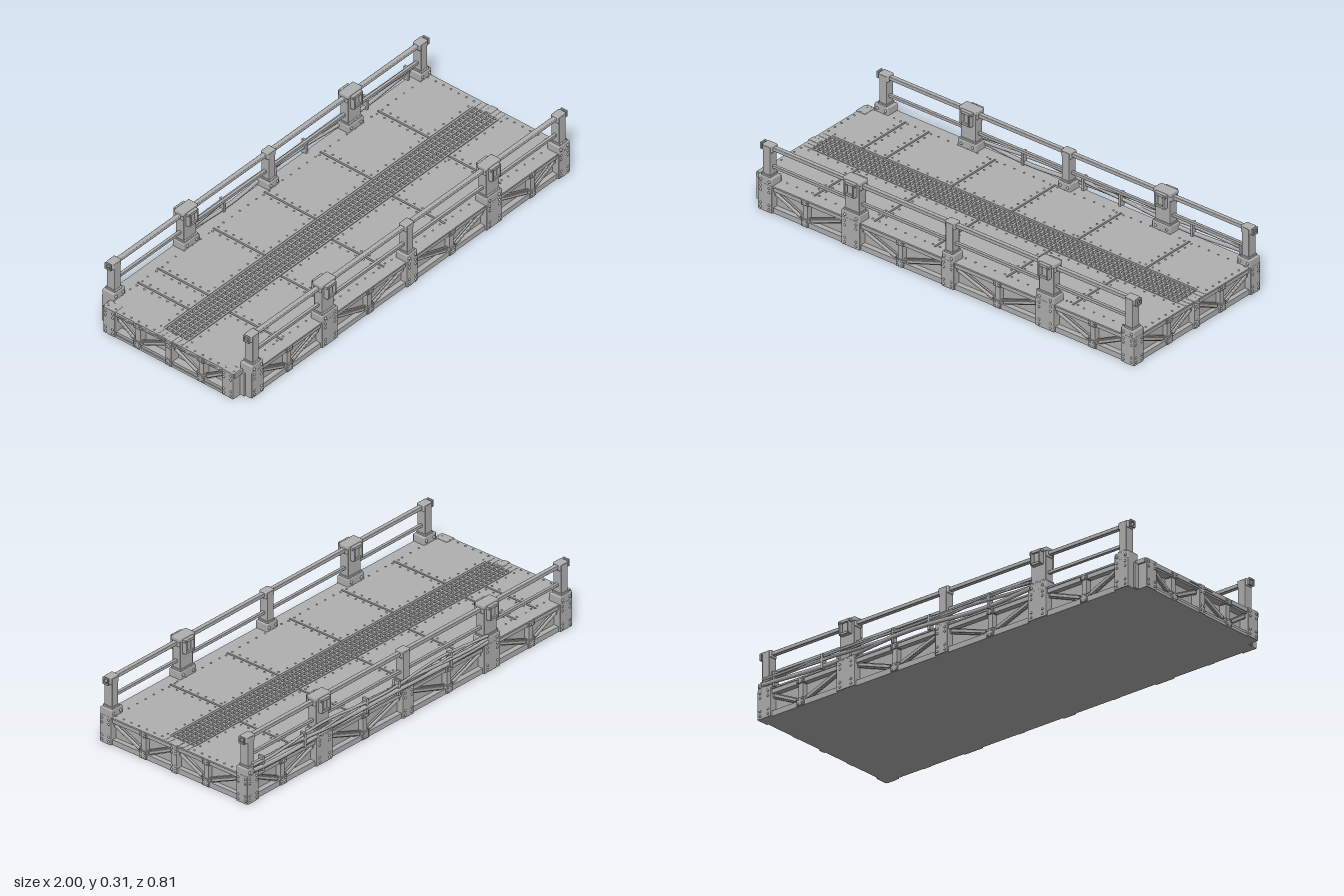
import * as THREE from 'three';
import { mergeGeometries } from 'three/addons/utils/BufferGeometryUtils.js';
import { RoundedBoxGeometry } from 'three/addons/geometries/RoundedBoxGeometry.js';

const flat = (g) => (g.index ? g.toNonIndexed() : g);

// Box given by its two extreme corners, optionally with softened edges
function box(x0, x1, y0, y1, z0, z1, r = 0) {
  const s = [x1 - x0, y1 - y0, z1 - z0];
  const g = r ? new RoundedBoxGeometry(...s, 1, r) : new THREE.BoxGeometry(...s);
  return flat(g.translate((x0 + x1) / 2, (y0 + y1) / 2, (z0 + z1) / 2));
}

// Domed rivet; axis is 'y' (up) or 'z' (outward)
function rivet(x, y, z, r = 0.006, axis = 'z') {
  const g = new THREE.SphereGeometry(r, 7, 3, 0, Math.PI * 2, 0, Math.PI / 2);
  if (axis === 'z') g.rotateX(Math.PI / 2);
  return flat(g.translate(x, y, z));
}

// Slanted strut between two points of the truss face
function strut(u0, y0, u1, y1) {
  const len = Math.hypot(u1 - u0, y1 - y0);
  const a = Math.atan2(y1 - y0, u1 - u0);
  const parts = [
    box(-len / 2, len / 2, -0.011, 0.011, -0.022, -0.014),
    box(-len / 2 + 0.015, len / 2 - 0.015, -0.007, 0.007, -0.016, -0.007, 0.003),
  ];
  return parts.map((g) => g.rotateZ(a).translate((u0 + u1) / 2, (y0 + y1) / 2, 0));
}

// Truss face in local coordinates: u along x, outward is +z, outer plane at z = 0
function truss(columns, mids) {
  const chords = [], uprights = [], struts = [], rivets = [];
  const first = columns[0], last = columns[columns.length - 1];
  const u0 = first.u - first.w, u1 = last.u + last.w;
  chords.push(box(u0, u1, 0, 0.024, -0.05, -0.006), box(u0, u1, 0.1, 0.125, -0.05, -0.006));
  chords.push(box(u0, u1, 0.118, 0.125, -0.05, -0.002));
  for (const { u, w } of columns) {
    uprights.push(box(u - w, u + w, 0, 0.127, -0.045, 0.003, 0.003));
    for (const y of [0.014, 0.034, 0.092, 0.112])
      for (const s of [-1, 1]) rivets.push(rivet(u + s * w * 0.6, y, 0.002));
  }
  for (const u of mids) {
    uprights.push(box(u - 0.012, u + 0.012, 0.02, 0.105, -0.04, -0.006));
    for (const [a, b] of [[0.001, 0.036], [0.098, 0.124]]) {
      uprights.push(box(u - 0.018, u + 0.018, a, b, -0.03, 0, 0.002));
      for (const s of [-1, 1]) for (const y of [a + 0.008, b - 0.008])
        rivets.push(rivet(u + s * 0.01, y, -0.001, 0.005));
    }
  }
  // Each bay has a pair of struts meeting at the foot of its middle upright
  columns.slice(0, -1).forEach((c, i) => {
    const n = columns[i + 1], m = mids[i];
    struts.push(...strut(c.u + c.w - 0.005, 0.097, m - 0.012, 0.027));
    struts.push(...strut(m + 0.012, 0.027, n.u - n.w + 0.005, 0.097));
  });
  return { chords, uprights, struts, rivets };
}

export function createModel() {
  const model = new THREE.Group();
  const steel = new THREE.MeshStandardMaterial({ color: 0xb0b0b0 });
  steel.name = 'grey steel';
  const add = (name, geos, parent = model) => {
    const mesh = new THREE.Mesh(mergeGeometries(geos.map(flat)), steel);
    mesh.name = name;
    parent.add(mesh);
    return mesh;
  };
  const addTruss = (name, data, angle, x, z) => {
    const group = new THREE.Group();
    group.name = name;
    for (const key of Object.keys(data)) add(key, data[key], group);
    group.rotation.y = angle;
    group.position.set(x, 0, z);
    model.add(group);
  };

  // Solid core and flat underside
  add('core', [
    box(-0.955, 0.96, 0.001, 0.112, -0.358, 0.358),
    box(-0.945, 0.98, 0, 0.01, -0.38, 0.38),
    box(-0.995, -0.94, 0, 0.012, -0.335, 0.335),
    box(-0.995, -0.94, 0.106, 0.114, -0.335, 0.335),
  ]);

  // Side and end trusses
  const columns = [[-0.91, 0.036], [-0.47, 0.048], [0.03, 0.032], [0.53, 0.048], [0.955, 0.034]]
    .map(([u, w]) => ({ u, w }));
  const mids = [-0.71, -0.22, 0.28, 0.77];
  addTruss('frontTruss', truss(columns, mids), 0, 0, 0.388);
  const flipped = columns.map(({ u, w }) => ({ u: -u, w })).reverse();
  addTruss('backTruss', truss(flipped, mids.map((u) => -u).reverse()), Math.PI, 0, -0.388);
  const endColumns = (e) => [{ u: -e, w: 0.03 }, { u: 0, w: 0.016 }, { u: e, w: 0.03 }];
  addTruss('rightEndTruss', truss(endColumns(0.361), [-0.165, 0.165]), Math.PI / 2, 0.987, 0);
  addTruss('leftEndTruss', truss(endColumns(0.308), [-0.165, 0.165]), -Math.PI / 2, -0.996, 0);

  // Deck plates with gaps between them, and rivets along every edge
  const plates = [], deckRivets = [];
  const halves = [
    { z0: -0.345, z1: -0.07, cuts: [-0.998, -0.79, -0.67, -0.33, -0.02, 0.32, 0.67, 0.982] },
    { z0: 0.065, z1: 0.345, cuts: [-0.998, -0.7, -0.39, -0.08, 0.29, 0.63, 0.982] },
  ];
  for (const { z0, z1, cuts } of halves) {
    for (let i = 0; i < cuts.length - 1; i++) {
      const a = cuts[i] + 0.004, b = cuts[i + 1] - 0.004;
      plates.push(box(a, b, 0.106, 0.125, z0, z1));
      for (let k = 0; k < 7; k++) {
        const z = z0 + 0.018 + (k / 6) * (z1 - z0 - 0.036);
        for (const x of [a + 0.014, b - 0.014]) deckRivets.push(rivet(x, 0.1245, z, 0.0045, 'y'));
      }
      for (let x = a + 0.05; x < b - 0.03; x += 0.05)
        for (const z of [z0 + 0.014, z1 - 0.014]) deckRivets.push(rivet(x, 0.1245, z, 0.004, 'y'));
    }
  }
  add('deckPlates', plates);
  add('deckRivets', deckRivets);

  // Grating down the middle
  const grating = [];
  for (let i = 0; i <= 78; i++) {
    const x = -0.978 + i * 0.025;
    grating.push(box(x - 0.005, x + 0.005, 0.11, 0.124, -0.065, 0.06));
  }
  for (let i = 0; i <= 5; i++) {
    const z = -0.063 + i * 0.0242;
    grating.push(box(-0.985, 0.98, 0.11, 0.126, z - 0.004, z + 0.004));
  }
  add('grating', grating);

  // Railings on both long sides
  for (const s of [1, -1]) {
    const railing = new THREE.Group();
    railing.name = s > 0 ? 'frontRailing' : 'backRailing';
    const zc = s * 0.36;
    const posts = [], bolts = [], lamps = [];
    columns.forEach(({ u, w }, i) => {
      const wide = i === 1 || i === 3;
      const h = wide ? 0.038 : 0.019;
      const d = 0.021;
      posts.push(box(u - h, u + h, 0.12, wide ? 0.3 : 0.292, zc - d, zc + d, 0.003));
      posts.push(box(u - w, u + w, 0.12, 0.158, zc - 0.03, zc + 0.03, 0.004));
      posts.push(box(u - h - 0.004, u + h + 0.004, 0.155, 0.166, zc - 0.026, zc + 0.026, 0.003));
      posts.push(box(u - h - 0.006, u + h + 0.006, 0.266, 0.297, zc - 0.019, zc + 0.019, 0.004));
      for (const k of [-1, 1]) for (const f of [-1, 1]) {
        const b = rivet(u + k * w * 0.6, 0.14, 0.029, 0.007);
        bolts.push((f < 0 ? b.rotateY(Math.PI).translate(2 * u, 0, 0) : b).translate(0, 0, zc));
      }
      if (!wide) return;
      posts.push(box(u - 0.045, u + 0.045, 0.288, 0.306, zc - 0.025, zc + 0.025, 0.004));
      // Caged lamps on both faces of the wide posts
      for (const f of [-1, 1]) {
        const zf = zc + f * 0.02;
        const slab = (x0, x1, y0, y1, out) =>
          lamps.push(box(x0, x1, y0, y1, Math.min(zf, zf + f * out), Math.max(zf, zf + f * out), 0.002));
        slab(u - 0.03, u + 0.03, 0.285, 0.298, 0.02);
        slab(u - 0.026, u + 0.026, 0.234, 0.245, 0.02);
        slab(u - 0.014, u + 0.014, 0.24, 0.29, 0.013);
        for (const k of [-0.022, 0.022]) slab(u + k - 0.004, u + k + 0.004, 0.238, 0.292, 0.024);
      }
    });
    add('posts', posts, railing);
    add('postBolts', bolts, railing);
    add('lamps', lamps, railing);
    add('topRail', [box(-0.942, 0.987, 0.274, 0.291, zc - 0.01, zc + 0.01, 0.003)], railing);
    add('middleRail', [box(-0.91, 0.955, 0.193, 0.206, zc - 0.007, zc + 0.007, 0.002)], railing);
    // Hollow square sockets where the top rail ends
    const sockets = [];
    for (const [a, b] of [[-0.947, -0.94], [0.985, 0.992]]) {
      for (const k of [-1, 1]) {
        sockets.push(box(a, b, 0.282 + k * 0.012 - 0.003, 0.282 + k * 0.012 + 0.003, zc - 0.015, zc + 0.015));
        sockets.push(box(a, b, 0.267, 0.297, zc + k * 0.012 - 0.003, zc + k * 0.012 + 0.003));
      }
    }
    add('railSockets', sockets, railing);
    model.add(railing);
  }

  // Sagging cables along the outside of the back railing
  const cables = [];
  [[0.142, 0.009, 0], [0.158, 0.008, 1.7], [0.174, 0.006, 3.1], [0.165, 0.005, 4.6]].forEach(([y, r, phase], n) => {
    const points = [];
    for (let i = 0; i <= 16; i++) {
      const x = -0.44 + (i / 16) * 1.4;
      points.push(new THREE.Vector3(x, y + 0.008 * Math.sin(x * (7 + n) + phase),
        -0.389 - 0.005 * Math.sin(x * 9 + phase * 2)));
    }
    cables.push(new THREE.TubeGeometry(new THREE.CatmullRomCurve3(points), 80, r, 6));
  });
  add('cables', cables);
  const clips = [-0.22, 0.09, 0.28, 0.65, 0.9].map((x) => box(x - 0.006, x + 0.006, 0.12, 0.188, -0.397, -0.372, 0.002));
  add('cableClips', clips);

  return model;
}
